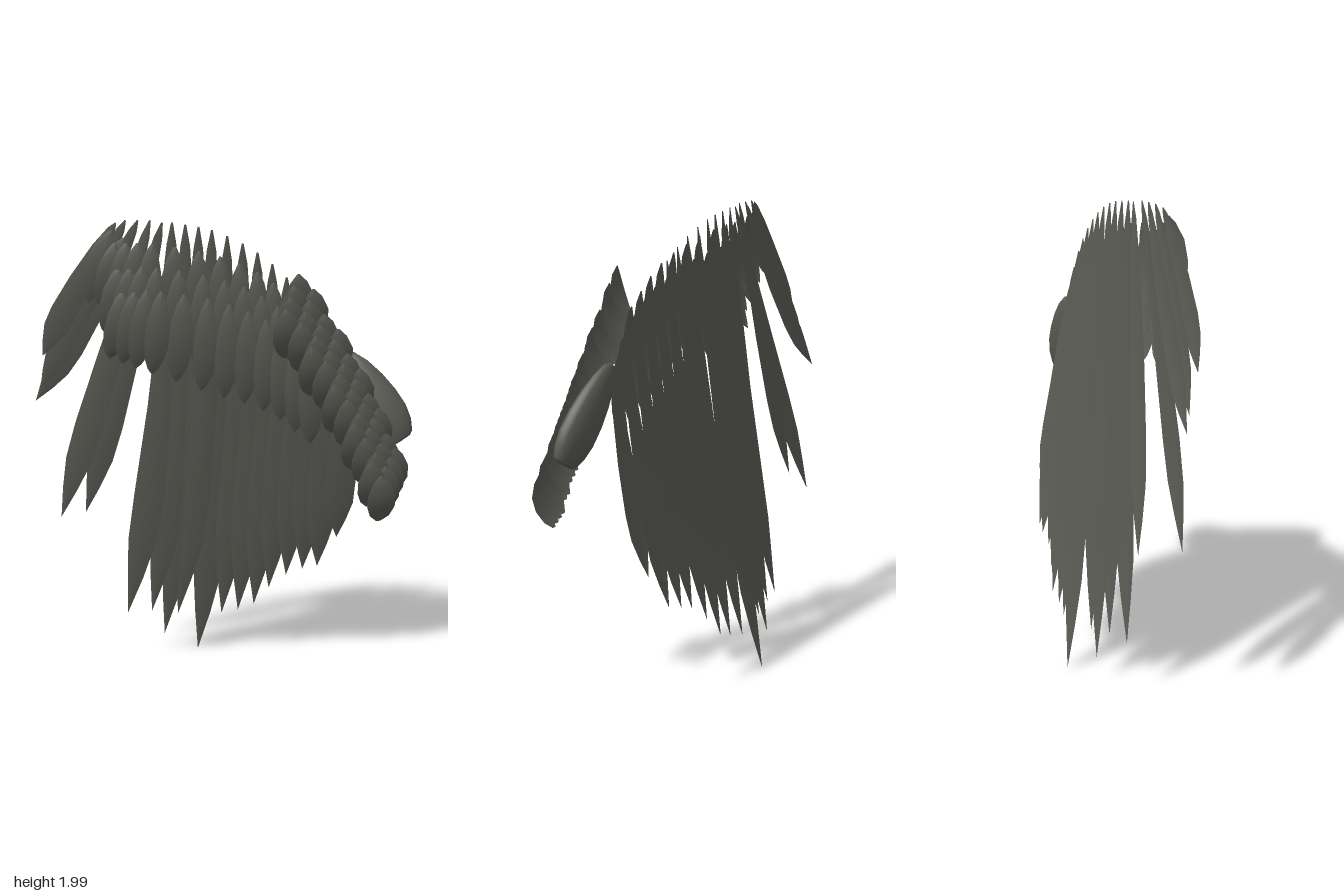
import * as THREE from 'three';

const V = (x, y, z) => new THREE.Vector3(x, y, z);

// [position along the feather, relative half width]
const LONG = [[0, 0.06], [0.05, 0.3], [0.2, 0.6], [0.45, 0.85], [0.68, 1], [0.8, 0.92], [0.9, 0.52], [1, 0]];
const COVERT = [[0, 0.1], [0.12, 0.55], [0.35, 0.95], [0.6, 1], [0.8, 0.82], [0.93, 0.42], [1, 0]];
const SCALE = [[0, 0.08], [0.15, 0.6], [0.4, 1], [0.65, 1], [0.87, 0.7], [1, 0.18]];

// A thin vane swept along a bowed line, with a slightly raised middle
function featherGeometry(root, tip, width, bow, side, profile) {
  const mid = root.clone().lerp(tip, 0.5).addScaledVector(bow, 2);
  const curve = new THREE.QuadraticBezierCurve3(root, mid, tip);
  const pos = [], idx = [];
  profile.forEach(([t, w], i) => {
    const p = curve.getPoint(t), tan = curve.getTangent(t);
    const across = side.clone().addScaledVector(tan, -side.dot(tan)).normalize();
    const normal = tan.clone().cross(across).normalize();
    if (normal.z < 0) normal.negate();
    for (const s of [-1, 0, 1]) {
      const q = p.clone().addScaledVector(across, s * w * width / 2);
      q.addScaledVector(normal, (1 - Math.abs(s)) * w * width * 0.07);
      pos.push(q.x, q.y, q.z);
    }
    if (i) for (let k = 0; k < 2; k++) {
      const a = (i - 1) * 3 + k, b = a + 3;
      idx.push(a, b, a + 1, b, b + 1, a + 1);
    }
  });
  const g = new THREE.BufferGeometry();
  g.setAttribute('position', new THREE.Float32BufferAttribute(pos, 3));
  g.setIndex(idx);
  g.computeVertexNormals();
  return g;
}

export function createModel() {
  const model = new THREE.Group();
  model.name = 'wing';
  const grey = new THREE.MeshStandardMaterial({ color: 0x5a5a54, side: THREE.DoubleSide });
  grey.name = 'feather grey';

  const group = (name) => {
    const g = new THREE.Group();
    g.name = name;
    model.add(g);
    return g;
  };
  const add = (parent, name, ...args) => {
    const m = new THREE.Mesh(featherGeometry(...args), grey);
    m.name = name;
    parent.add(m);
  };
  const span = V(1, 0, 0.12);

  // Long flight feathers hanging from the leading edge
  const flight = group('flightFeathers');
  const rootLine = new THREE.CatmullRomCurve3([
    V(-0.19, 1.98, -0.14), V(-0.03, 1.95, -0.1), V(0.15, 1.86, -0.04), V(0.32, 1.7, 0.02), V(0.5, 1.44, 0.09)]);
  const tips = [
    [-0.38, 0.22, -0.31], [-0.27, 0.22, -0.31], [-0.21, 0.1, -0.33], [-0.15, 0.2, -0.31], [-0.05, 0, -0.36],
    [0.05, 0.19, -0.3], [0.12, 0.21, -0.27], [0.19, 0.24, -0.25], [0.25, 0.33, -0.21], [0.32, 0.4, -0.17],
    [0.39, 0.43, -0.15], [0.45, 0.45, -0.12], [0.52, 0.6, -0.06]];
  tips.forEach((t, i) => {
    const u = i / (tips.length - 1);
    add(flight, 'flightFeather', rootLine.getPoint(u), V(...t), 0.135, V(0.04 * (1 - u), 0, 0.015), span, LONG);
  });

  // Splayed feathers at the outer end
  const outer = group('outerFeathers');
  [
    [[-0.23, 1.98, -0.15], [-0.55, 0.68, -0.4], 0.12, 0],
    [[-0.28, 1.99, -0.15], [-0.67, 0.7, -0.28], 0.12, 0],
    [[-0.33, 1.99, -0.16], [-0.76, 1.21, -0.35], 0.11, 0.015],
    [[-0.38, 1.99, -0.17], [-0.74, 1.27, -0.32], 0.11, 0],
    [[-0.42, 1.98, -0.17], [-0.73, 1.42, -0.27], 0.11, -0.01],
  ].forEach(([a, b, w, k]) =>
    add(outer, 'outerFeather', V(...a), V(...b), w, V(k, -k, 0.01), V(1, -0.4, 0.15), LONG));

  // Three overlapping rows of coverts on the front, lower rows nearer the front
  const coverts = group('coverts');
  const topLine = new THREE.CatmullRomCurve3([
    V(-0.43, 1.9, -0.15), V(-0.3, 1.9, -0.11), V(-0.05, 1.86, -0.04), V(0.15, 1.78, 0.03), V(0.3, 1.64, 0.085)]);
  const count = 12;
  for (let row = 0; row < 3; row++) {
    for (let i = 0; i < count; i++) {
      const u = i / (count - 1);
      const r = topLine.getPoint(u).add(V(0.014 * row, -0.095 * row, 0.022 * row + 0.01));
      const drop = 0.27 + 0.14 * Math.min(1, u * 2) - 0.05 * u + 0.01 * row;
      const t = r.clone().add(V(-0.06 + 0.08 * u, -drop, -0.04));
      add(coverts, 'covert', r, t, 0.1, V(0, 0, 0.025), span, COVERT);
    }
  }
  // Outermost coverts lean outward
  for (let i = 0; i < 2; i++) {
    const r = V(-0.44 + 0.05 * i, 1.95 - 0.03 * i, -0.16 + 0.012 * i);
    add(coverts, 'outerCovert', r, r.clone().add(V(-0.1, -0.3, -0.03)), 0.1,
      V(-0.01, 0.01, 0.02), V(1, -0.3, 0.12), COVERT);
  }

  // Band of small curled scale feathers sweeping down to the shoulder
  const scales = group('scaleFeathers');
  const rows = 10, cols = 4;
  for (let r = 0; r < rows; r++) {
    for (let c = 0; c < cols; c++) {
      const u = r / (rows - 1), v = (c + (r % 2) * 0.45) / (cols - 0.6);
      const left = V(0.21, 1.66, 0.215).lerp(V(0.56, 0.98, 0.395), u);
      const right = V(0.28, 1.81, 0.16).lerp(V(0.65, 1.09, 0.3), u);
      const root = left.lerp(right, v).add(V(0.03 * Math.sin(u * Math.PI), 0, 0));
      const tip = root.clone().add(V(0.015, -0.21, -0.065));
      add(scales, 'scaleFeather', root, tip, 0.115, V(0, 0, 0.028), V(1, 0, 0.05), SCALE);
    }
  }

  // Smooth shoulder, tapered at the top and blunt at the lower end
  const pts = [[0, 0], [0.05, 0.004], [0.066, 0.015], [0.088, 0.06], [0.1, 0.12], [0.098, 0.2], [0.086, 0.28], [0.064, 0.36], [0.035, 0.42], [0, 0.44]];
  const shoulder = new THREE.Mesh(
    new THREE.LatheGeometry(pts.map(([x, y]) => new THREE.Vector2(x, y)), 24), grey);
  shoulder.name = 'shoulder';
  shoulder.scale.z = 0.5;
  const low = V(0.71, 1.09, 0.21), axis = V(0.5, 1.44, 0.1).sub(low).normalize();
  const xDir = V(1, 0, 0.3).addScaledVector(axis, -V(1, 0, 0.3).dot(axis)).normalize();
  shoulder.quaternion.setFromRotationMatrix(
    new THREE.Matrix4().makeBasis(xDir, axis, xDir.clone().cross(axis)));
  shoulder.position.copy(low);
  model.add(shoulder);

  return model;
}
